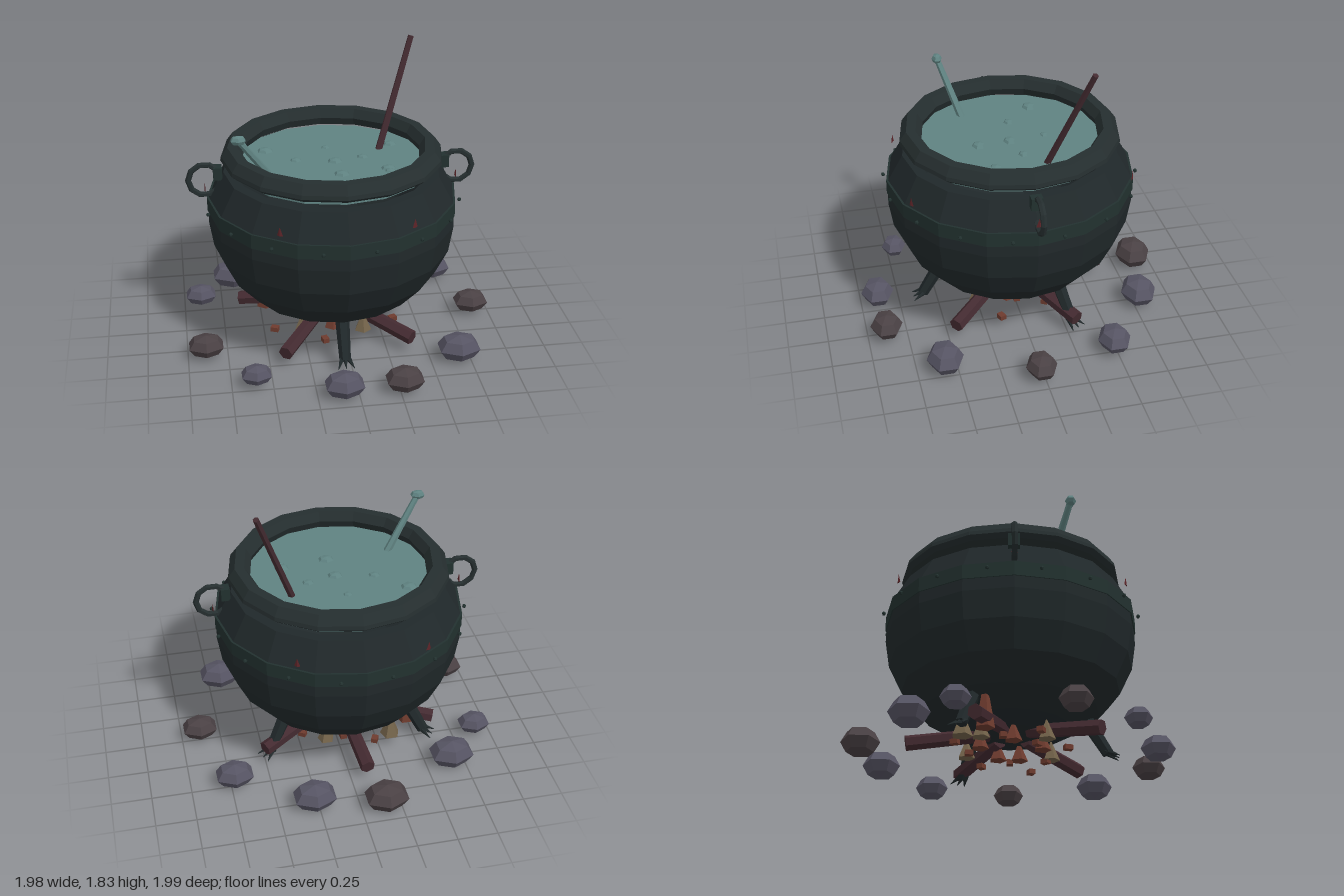
import * as THREE from 'three';

const mat = (color, side = THREE.FrontSide) =>
  new THREE.MeshStandardMaterial({ color, flatShading: true, side });
const V = (x, y, z) => new THREE.Vector3(x, y, z);
const CX = -0.045, CZ = 0.01, SIDES = 16;

const iron = mat(0x20282a, THREE.DoubleSide);
const rimIron = mat(0x252e2f, THREE.DoubleSide);
const bandIron = mat(0x22312f, THREE.DoubleSide);
const brew = mat(0x5f8281, THREE.DoubleSide);
const wood = mat(0x432a30);
const flameRed = mat(0x6e3b2e), flameTan = mat(0x73634a);
const stoneGrey = mat(0x565463), stoneBrown = mat(0x4a4144);
const crimson = mat(0x5c2428, THREE.DoubleSide);

export function createModel() {
  const model = new THREE.Group();
  const pot = new THREE.Group();
  pot.name = 'cauldron';
  pot.position.set(CX, 0, CZ);
  model.add(pot);

  const add = (parent, name, geometry, material, x = 0, y = 0, z = 0) => {
    const mesh = new THREE.Mesh(geometry, material);
    mesh.name = name;
    mesh.position.set(x, y, z);
    parent.add(mesh);
    return mesh;
  };
  // Tapered rod between two points
  const rod = (parent, name, a, b, ra, rb, material, sides = 6) => {
    const mesh = add(parent, name, new THREE.CylinderGeometry(rb, ra, a.distanceTo(b), sides), material);
    mesh.position.copy(a).lerp(b, 0.5);
    mesh.quaternion.setFromUnitVectors(V(0, 1, 0), b.clone().sub(a).normalize());
    return mesh;
  };
  const lathe = (name, pts, material) =>
    add(pot, name, new THREE.LatheGeometry(pts.map(p => new THREE.Vector2(...p)), SIDES), material);
  // Faceted pebble shape used for stones and bubbles
  const pebble = (parent, name, x, y, z, rx, ry, rz, material) => {
    const g = new THREE.SphereGeometry(1, 6, 4).rotateY(Math.PI / 6);
    return add(parent, name, g.scale(rx / 0.866, ry, rz), material, x, y, z);
  };

  // Bowl, rim, band and brew
  lathe('bowl', [[0.001, 0.165], [0.2, 0.175], [0.37, 0.215], [0.54, 0.31], [0.67, 0.455], [0.75, 0.62],
    [0.777, 0.79], [0.772, 0.95], [0.675, 1.12], [0.61, 1.12]], iron);
  lathe('rim', [[0.57, 1.175], [0.66, 1.175], [0.69, 1.2], [0.685, 1.225], [0.645, 1.28],
    [0.585, 1.28], [0.55, 1.225], [0.57, 1.175]], rimIron);
  lathe('band', [[0.765, 0.865], [0.782, 0.865], [0.782, 0.955], [0.765, 0.955]], bandIron);
  add(pot, 'brew', new THREE.CylinderGeometry(0.613, 0.613, 0.01, SIDES), brew, 0, 1.145, 0);

  // Rivets between the corners of the band
  for (let i = 0; i < SIDES; i++) {
    const a = (i + 0.5) * Math.PI * 2 / SIDES;
    add(pot, 'rivet', new THREE.SphereGeometry(0.013, 6, 4), bandIron, 0.798 * Math.cos(a), 0.91, 0.798 * Math.sin(a));
  }

  // Small pointed ornaments around the shoulder
  const mark = new THREE.ConeGeometry(0.022, 0.055, 3).scale(1, 1, 0.25);
  for (let i = 0; i < 6; i++) {
    const a = i * Math.PI / 3;
    add(pot, 'ornament', mark, crimson, 0.79 * Math.cos(a), 1.03, 0.79 * Math.sin(a)).rotation.y = Math.PI / 2 - a;
  }

  // Ring handles with mounts
  for (const s of [-1, 1]) {
    add(pot, 'handle', new THREE.TorusGeometry(0.102, 0.019, 6, 10), rimIron, s * 0.79, 1.075, 0);
    add(pot, 'handleMount', new THREE.BoxGeometry(0.055, 0.08, 0.07), bandIron, s * 0.71, 1.12, 0);
  }

  // Three splayed legs with clawed feet
  for (let i = 0; i < 3; i++) {
    const leg = new THREE.Group();
    leg.name = 'leg';
    leg.rotation.y = -Math.PI / 2 + i * Math.PI * 2 / 3;
    pot.add(leg);
    rod(leg, 'shin', V(0.43, 0.33, 0), V(0.585, 0.07, 0), 0.046, 0.036, iron);
    for (const k of [-1, 0, 1])
      rod(leg, 'claw', V(0.57, 0.085, k * 0.015), V(0.65, 0.045, k * 0.05), 0.02, 0.002, iron, 5);
  }

  // Bubbles on the brew: x, z, radius
  [[-0.44, -0.21, 0.048], [-0.055, -0.215, 0.027], [-0.265, -0.035, 0.034], [-0.025, 0.01, 0.044],
    [0.155, -0.035, 0.034], [-0.01, 0.21, 0.046], [0.285, 0.165, 0.044], [0.29, 0.205, 0.033], [0.36, -0.215, 0.04]]
    .forEach(([x, z, r]) => pebble(model, 'bubble', x, 1.148, z, r, r * 0.5, r, brew));

  // Stirring stick and knobbed bone
  rod(model, 'stirringStick', V(0.27, 1.12, -0.145), V(0.512, 1.82, -0.365), 0.023, 0.019, wood);
  rod(model, 'boneShaft', V(-0.405, 1.12, 0.235), V(-0.64, 1.465, 0.355), 0.025, 0.019, brew);
  pebble(model, 'boneKnob', -0.64, 1.465, 0.355, 0.043, 0.03, 0.034, brew);

  // Firewood radiating from the centre
  [45, 125, 200, 265, -30].forEach(deg => {
    const a = deg * Math.PI / 180, c = Math.cos(a), s = Math.sin(a);
    rod(model, 'log', V(CX + 0.13 * c, 0.18, CZ + 0.13 * s), V(CX + 0.63 * c, 0.105, CZ + 0.63 * s), 0.043, 0.047, wood);
  });

  // Flames: one tall, one medium, and an inner ring
  add(model, 'flame', new THREE.CylinderGeometry(0.025, 0.06, 0.2, 5), flameRed, -0.47, 0.17, -0.15);
  add(model, 'flame', new THREE.ConeGeometry(0.065, 0.16, 5), flameTan, -0.33, 0.15, -0.28);
  for (let i = 0; i < 9; i++) {
    const a = i * Math.PI * 2 / 9 + 0.3, r = i % 2 ? 0.3 : 0.19;
    add(model, 'flame', new THREE.ConeGeometry(0.055, 0.13, 5), i % 2 ? flameTan : flameRed,
      CX + r * Math.cos(a), 0.145, CZ + r * Math.sin(a));
  }

  // Embers scattered under the logs
  for (let i = 0; i < 10; i++) {
    const a = i * 2.4, r = 0.2 + 0.025 * i;
    add(model, 'ember', new THREE.BoxGeometry(0.05, 0.03, 0.04), flameRed,
      CX + r * Math.cos(a), 0.075, CZ + r * Math.sin(a)).rotation.y = a;
  }

  // Ring of stones: x, z, radius, brown
  [[-0.155, -0.88, 0.127, 1], [0.275, -0.785, 0.125, 0], [-0.66, -0.57, 0.13, 0], [0.725, -0.485, 0.112, 0],
    [-0.89, -0.31, 0.095, 0], [0.88, 0.02, 0.105, 1], [-0.885, 0.34, 0.105, 1], [0.675, 0.575, 0.124, 0],
    [-0.6, 0.71, 0.088, 0], [-0.09, 0.89, 0.114, 0], [0.275, 0.88, 0.11, 1]]
    .forEach(([x, z, r, brown]) =>
      pebble(model, 'stone', x, 0.09, z, r, Math.min(0.088, r * 0.68), r * 0.93, brown ? stoneBrown : stoneGrey));

  return model;
}
